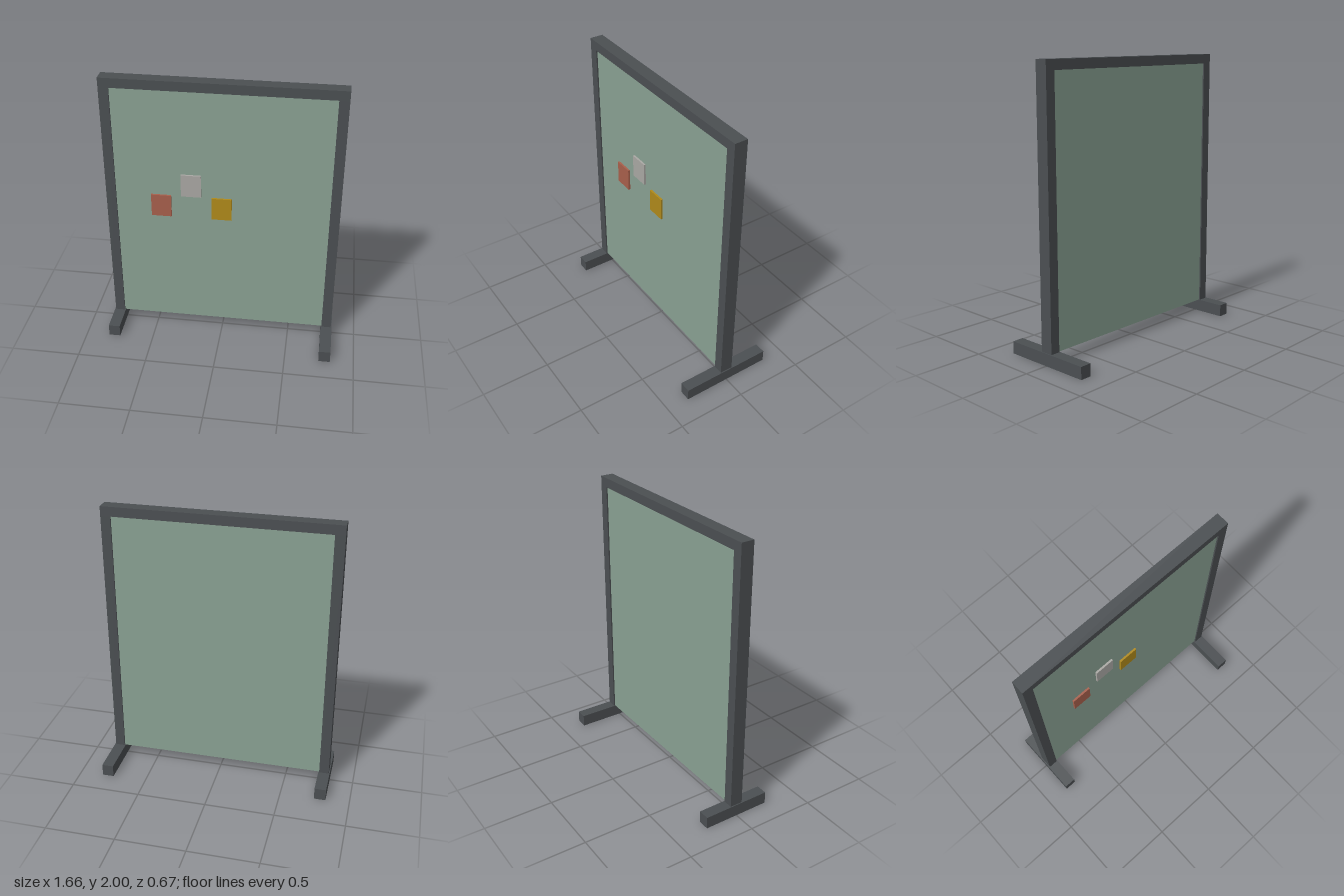
import * as THREE from 'three';

const paint = (color) => new THREE.MeshStandardMaterial({ color });

export function createModel() {
  const group = new THREE.Group();
  const frame = paint(0x4b4f52);

  // Adds a box spanning the given [min, max] ranges
  const box = (name, [x0, x1], [y0, y1], [z0, z1], material) => {
    const mesh = new THREE.Mesh(new THREE.BoxGeometry(x1 - x0, y1 - y0, z1 - z0), material);
    mesh.position.set((x0 + x1) / 2, (y0 + y1) / 2, (z0 + z1) / 2);
    mesh.name = name;
    group.add(mesh);
  };

  // Frame: two posts and the top rail
  const depth = [-0.047, 0.047];
  box('rightPost', [-0.823, -0.753], [0.088, 1.932], depth, frame);
  box('leftPost', [0.753, 0.823], [0.088, 1.932], depth, frame);
  box('topRail', [-0.823, 0.823], [1.932, 2], depth, frame);

  // Feet: the left one is longer
  box('rightFoot', [-0.83, -0.747], [0, 0.088], [-0.25, 0.25], frame);
  box('leftFoot', [0.747, 0.83], [0, 0.088], [-0.333, 0.333], frame);

  // Panel, slightly recessed in the frame
  box('panel', [-0.753, 0.753], [0.088, 1.932], [-0.037, 0.037], paint(0x8aa293));

  // Pinned notes on the front
  const notes = [
    ['redNote', -0.43, 1.057, 0xa8604c],
    ['greyNote', -0.216, 1.228, 0xaaa8a4],
    ['yellowNote', -0.002, 1.057, 0xb08a1a],
  ];
  for (const [name, x, y, color] of notes) {
    box(name, [x - 0.071, x + 0.071], [y - 0.084, y + 0.084], [0.035, 0.051], paint(color));
  }
  return group;
}
